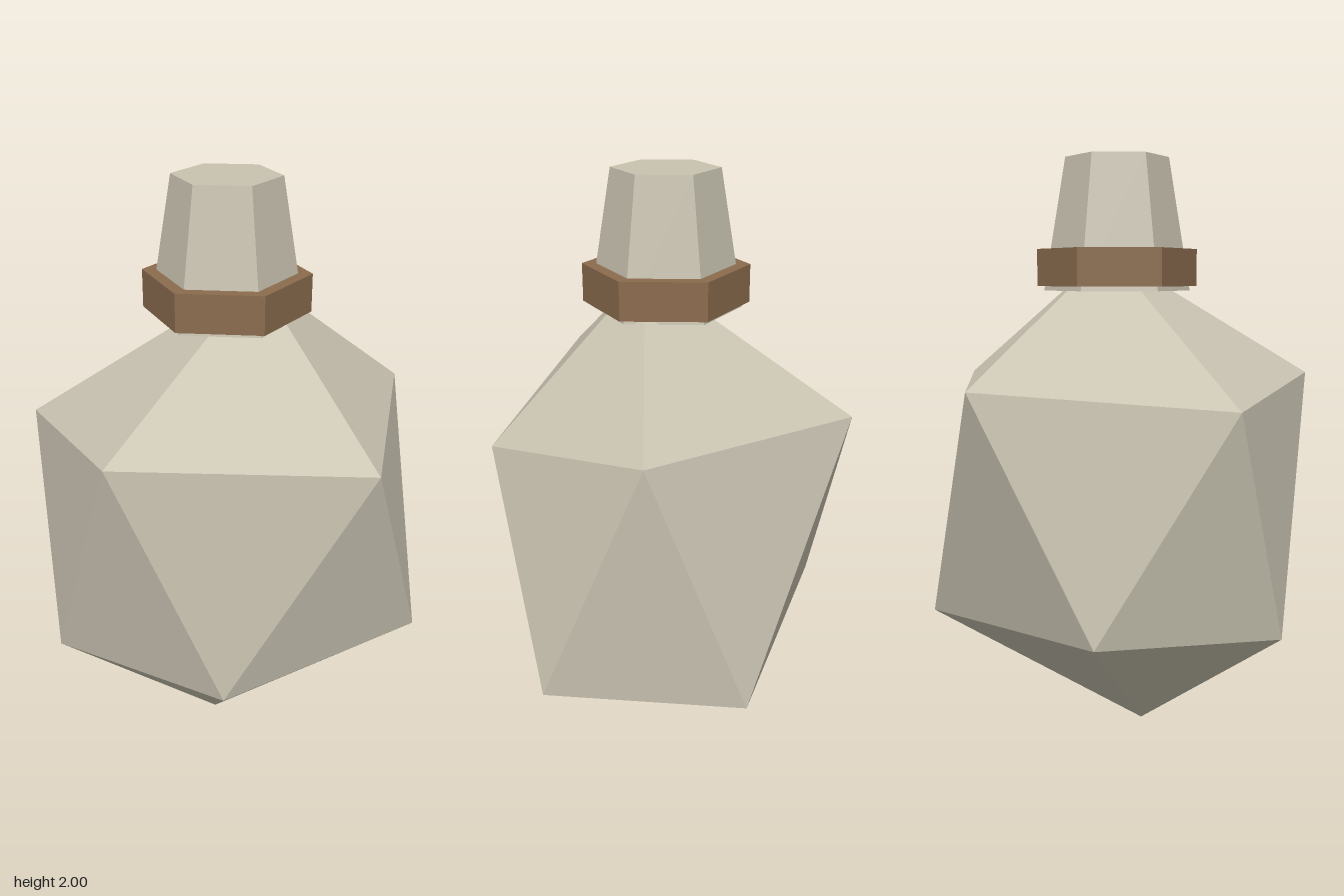
import * as THREE from 'three';

export function createModel() {
  const model = new THREE.Group();
  const bone = new THREE.MeshStandardMaterial({ color: 0xc8c2b0, flatShading: true });
  const leather = new THREE.MeshStandardMaterial({ color: 0x8b6c4e, flatShading: true });
  bone.name = 'bone';
  leather.name = 'brown leather';

  const add = (name, geometry, material, x = 0, y = 0, z = 0) => {
    const mesh = new THREE.Mesh(geometry, material);
    mesh.name = name;
    mesh.position.set(x, y, z);
    model.add(mesh);
  };

  // Faceted body: an irregular icosahedron made of two five-point rings and two tips
  const top = [0.065, 1.69, 0.09];
  const bottom = [-0.08, 0, 0.08];
  const upper = [[-0.57, 1.27, 0.38], [0.26, 1.16, 0.58], [0.63, 1.25, 0.07], [0.2, 1.25, -0.58], [-0.59, 1.2, -0.27]];
  const lower = [[-0.25, 0.42, 0.525], [0.56, 0.41, 0.41], [0.6, 0.4, -0.25], [-0.21, 0.46, -0.505], [-0.64, 0.415, 0]];
  const corners = [];
  for (let i = 0; i < 5; i++) {
    const j = (i + 1) % 5;
    corners.push(top, upper[i], upper[j]);
    corners.push(upper[i], lower[i], upper[j]);
    corners.push(lower[i], lower[j], upper[j]);
    corners.push(bottom, lower[j], lower[i]);
  }
  const bodyGeometry = new THREE.BufferGeometry();
  bodyGeometry.setAttribute('position', new THREE.Float32BufferAttribute(corners.flat(), 3));
  bodyGeometry.computeVertexNormals();
  add('body', bodyGeometry, bone);

  // Tapered six-sided neck passing through a six-sided collar
  add('neck', new THREE.CylinderGeometry(0.175, 0.25, 0.445, 6), bone, -0.008, 1.7775, 0.025);
  add('collar', new THREE.CylinderGeometry(0.273, 0.273, 0.125, 6), leather, -0.008, 1.6325, 0.025);

  return model;
}
